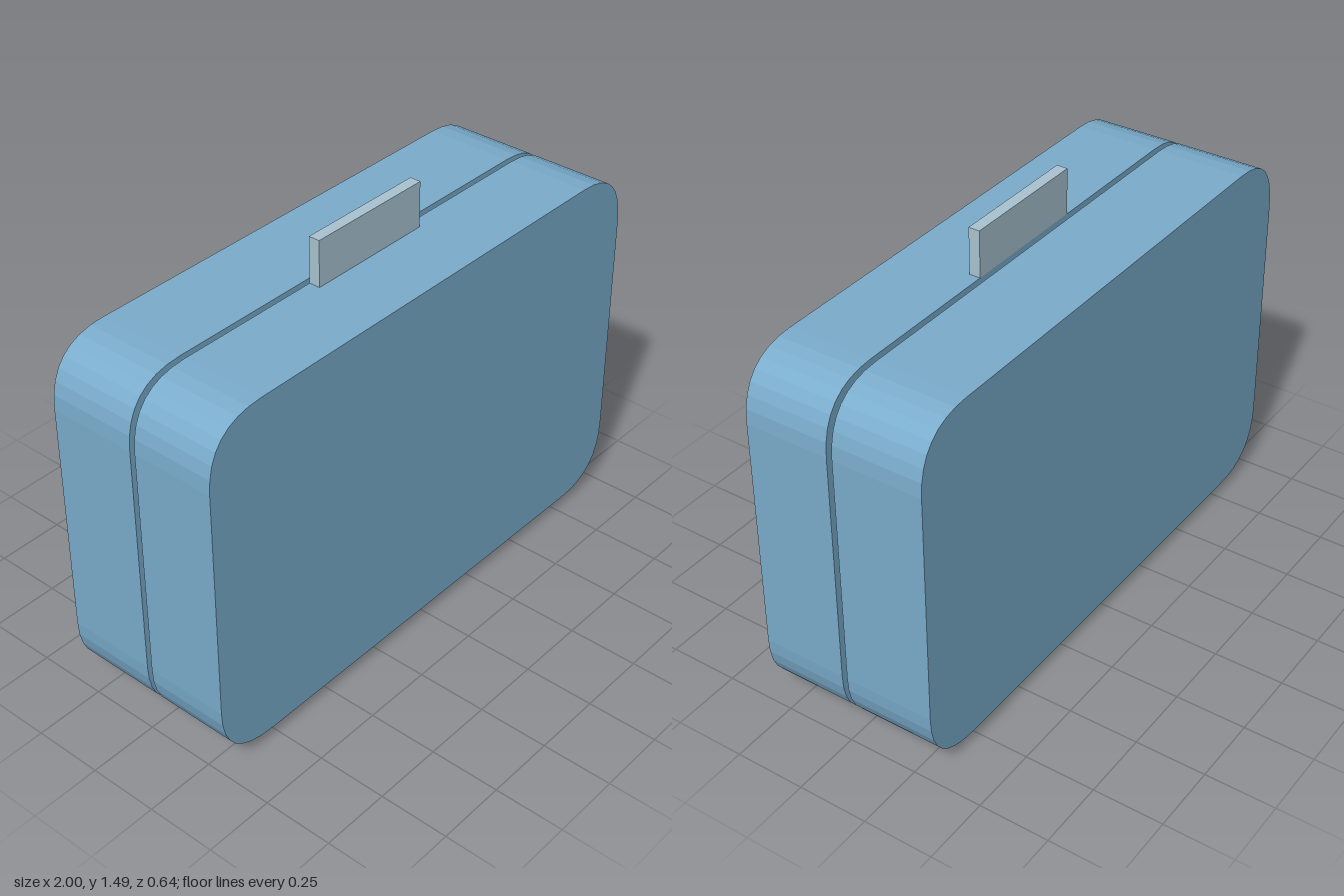
import * as THREE from 'three';

const caseBlue = new THREE.MeshStandardMaterial({ name: 'caseBlue', color: 0x7aaccc });
const handleGrey = new THREE.MeshStandardMaterial({ name: 'handleGrey', color: 0xaac4d2 });

// Rounded rectangle outline with curved corners
function roundedRect(x0, y0, x1, y1, r) {
  const s = new THREE.Shape();
  s.moveTo(x0 + r, y0);
  s.lineTo(x1 - r, y0);
  s.quadraticCurveTo(x1, y0, x1, y0 + r);
  s.lineTo(x1, y1 - r);
  s.quadraticCurveTo(x1, y1, x1 - r, y1);
  s.lineTo(x0 + r, y1);
  s.quadraticCurveTo(x0, y1, x0, y1 - r);
  s.lineTo(x0, y0 + r);
  s.quadraticCurveTo(x0, y0, x0 + r, y0);
  return s;
}

// Box given by its minimum and maximum corners
function box(name, material, min, max) {
  const size = max.map((v, i) => v - min[i]);
  const mesh = new THREE.Mesh(new THREE.BoxGeometry(...size), material);
  mesh.position.set(...max.map((v, i) => (v + min[i]) / 2));
  mesh.name = name;
  return mesh;
}

export function createModel() {
  const model = new THREE.Group();
  model.name = 'hingedCase';

  // Two case halves separated by a narrow open seam
  const outline = roundedRect(-1, 0.04, 1, 1.32, 0.22);
  for (const [name, z0, z1] of [['frontHalf', 0.02, 0.32], ['backHalf', -0.32, 0]]) {
    const geometry = new THREE.ExtrudeGeometry(outline, {
      depth: z1 - z0, bevelEnabled: false, curveSegments: 8,
    });
    const half = new THREE.Mesh(geometry, caseBlue);
    half.position.z = z0;
    half.name = name;
    model.add(half);
  }

  // Hinge: a plate under the seam with one foot on each half
  const hinge = new THREE.Group();
  hinge.name = 'hinge';
  hinge.add(
    box('hingePlate', caseBlue, [-0.48, 0, -0.12], [0.48, 0.02, 0.14]),
    box('hingeFrontFoot', caseBlue, [-0.48, 0.02, 0.08], [0.48, 0.04, 0.14]),
    box('hingeBackFoot', caseBlue, [-0.48, 0.02, -0.12], [0.48, 0.04, -0.06]),
  );
  model.add(hinge);

  // Tab handle on the front half
  model.add(box('handle', handleGrey, [-0.24, 1.32, 0.02], [0.24, 1.485, 0.06]));

  return model;
}
